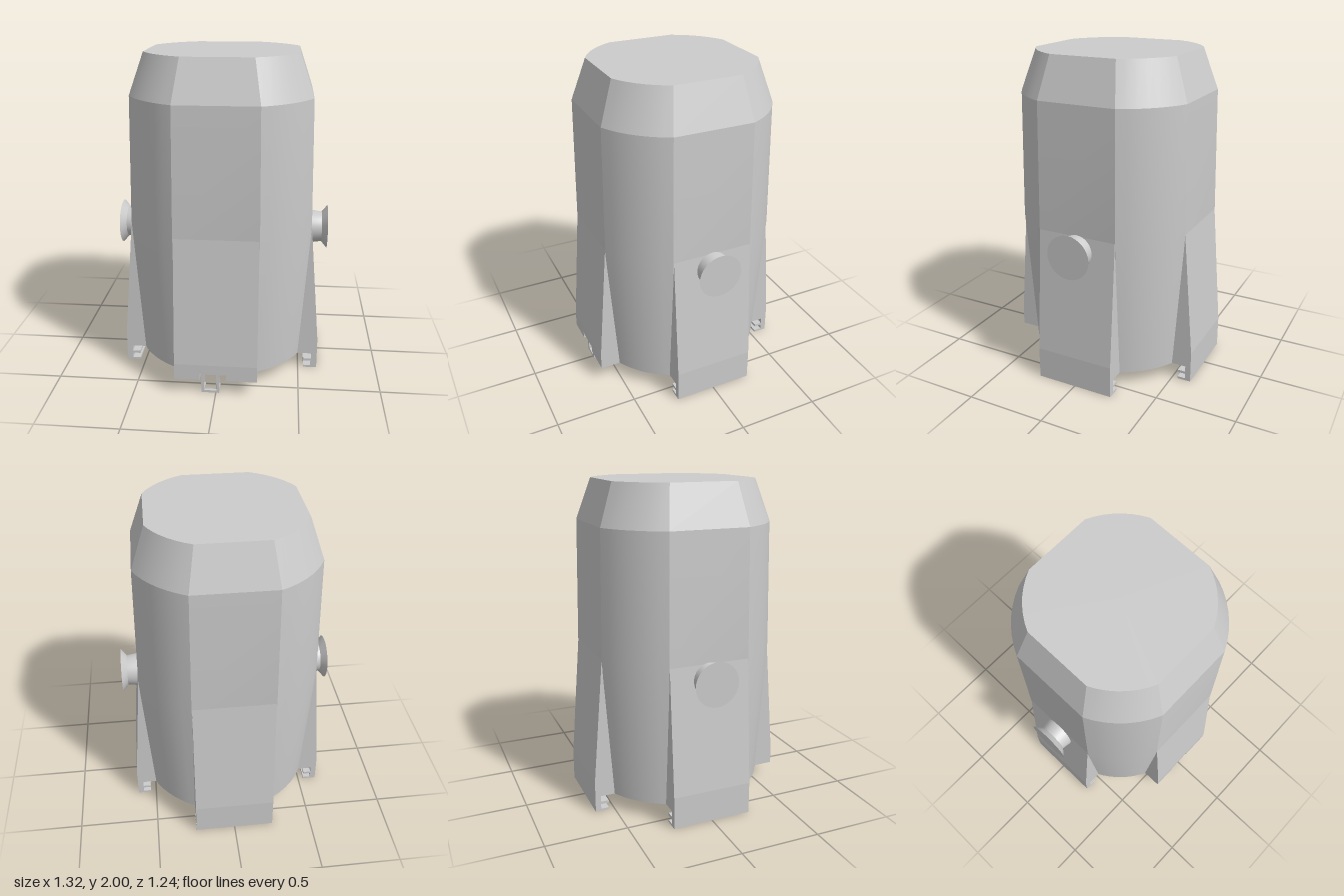
import * as THREE from 'three';
import { toCreasedNormals } from 'three/addons/utils/BufferGeometryUtils.js';

const grey = new THREE.MeshStandardMaterial({ color: 0xcccccc });

function addMesh(parent, name, geometry) {
  const mesh = new THREE.Mesh(geometry, grey);
  mesh.name = name;
  parent.add(mesh);
  return mesh;
}

// Loft of circles clipped by four flats; each ring is [height, half distance between flats]
function clippedCircleLoft(rings) {
  const ratio = 0.91, start = Math.acos(ratio), steps = 7;
  const angles = [];
  for (let q = 0; q < 4; q++)
    for (let i = 0; i <= steps; i++)
      angles.push(q * Math.PI / 2 + start + (Math.PI / 2 - 2 * start) * i / steps);
  const n = angles.length, pos = [], index = [];
  for (const [y, flat] of rings)
    for (const a of angles) pos.push(flat / ratio * Math.cos(a), y, flat / ratio * Math.sin(a));
  for (let r = 0; r < rings.length - 1; r++)
    for (let j = 0; j < n; j++) {
      const a = r * n + j, b = r * n + (j + 1) % n, c = a + n, d = b + n;
      index.push(a, c, b, b, c, d);
    }
  // end caps
  const bottom = pos.length / 3, top = bottom + 1, last = (rings.length - 1) * n;
  pos.push(0, rings[0][0], 0, 0, rings[rings.length - 1][0], 0);
  for (let j = 0; j < n; j++) {
    const k = (j + 1) % n;
    index.push(bottom, j, k, top, last + k, last + j);
  }
  const g = new THREE.BufferGeometry();
  g.setAttribute('position', new THREE.Float32BufferAttribute(pos, 3));
  g.setIndex(index);
  return toCreasedNormals(g, 0.2);
}

// Radial profile of a buttress, extruded sideways from z0 to z1
function buttressGeometry(lowerProfile, z0, z1) {
  const points = [[0.62, 0.2], [0.555, 0.98], [0.52, 0.98], [0.495, 0.1], ...lowerProfile];
  const shape = new THREE.Shape(points.map(([x, y]) => new THREE.Vector2(x, y)));
  return new THREE.ExtrudeGeometry(shape, { depth: z1 - z0, bevelEnabled: false }).translate(0, 0, z0);
}

export function createModel() {
  const model = new THREE.Group();
  model.name = 'housing';

  // Main body with a shallow recess underneath and a tapered shoulder
  addMesh(model, 'body', clippedCircleLoft([
    [0.14, 0.46], [0.1, 0.49], [0.1, 0.505], [0.98, 0.555], [1.75, 0.54], [2, 0.455],
  ]));

  // Right, back and left buttresses with slotted feet
  const slotted = [
    [0.585, 0.1], [0.585, 0.062], [0.535, 0.062], [0.535, 0.046],
    [0.585, 0.046], [0.585, 0.014], [0.535, 0.014], [0.535, 0], [0.62, 0],
  ];
  ['leftButtress', 'backButtress', 'rightButtress'].forEach((name, i) => {
    addMesh(model, name, buttressGeometry(slotted, -0.25, 0.25)).rotation.y = i * Math.PI / 2;
  });

  // Front buttress: shorter, with a notch for the latch
  const front = new THREE.Group();
  front.name = 'frontButtress';
  front.rotation.y = -Math.PI / 2;
  model.add(front);
  const plain = [[0.62, 0.1]];
  const notched = [[0.56, 0.1], [0.56, 0.14], [0.62, 0.14]];
  addMesh(front, 'buttressSideA', buttressGeometry(plain, -0.25, -0.065));
  addMesh(front, 'buttressNotch', buttressGeometry(notched, -0.065, 0.095));
  addMesh(front, 'buttressSideB', buttressGeometry(plain, 0.095, 0.25));

  // Latch: two L-shaped prongs joined by a low crossbar
  const latch = new THREE.Group();
  latch.name = 'latch';
  model.add(latch);
  for (const x of [-0.08, 0.012]) {
    addMesh(latch, 'latchProng', new THREE.BoxGeometry(0.018, 0.125, 0.017).translate(x, 0.0625, 0.587));
    addMesh(latch, 'latchFoot', new THREE.BoxGeometry(0.018, 0.015, 0.085).translate(x, 0.0075, 0.552));
  }
  addMesh(latch, 'latchCrossbar', new THREE.BoxGeometry(0.092, 0.015, 0.017).translate(-0.034, 0.0075, 0.587));

  // Side knobs: short shaft flaring into a disc
  const profile = [[0, 0.5], [0.103, 0.5], [0.103, 0.57], [0.095, 0.625], [0.137, 0.66], [0, 0.66]]
    .map(([r, x]) => new THREE.Vector2(r, x));
  const knob = toCreasedNormals(new THREE.LatheGeometry(profile, 32), 0.4);
  for (const side of [1, -1]) {
    const mesh = addMesh(model, side > 0 ? 'leftKnob' : 'rightKnob', knob);
    mesh.rotation.z = -side * Math.PI / 2;
    mesh.position.y = 0.885;
  }
  return model;
}
